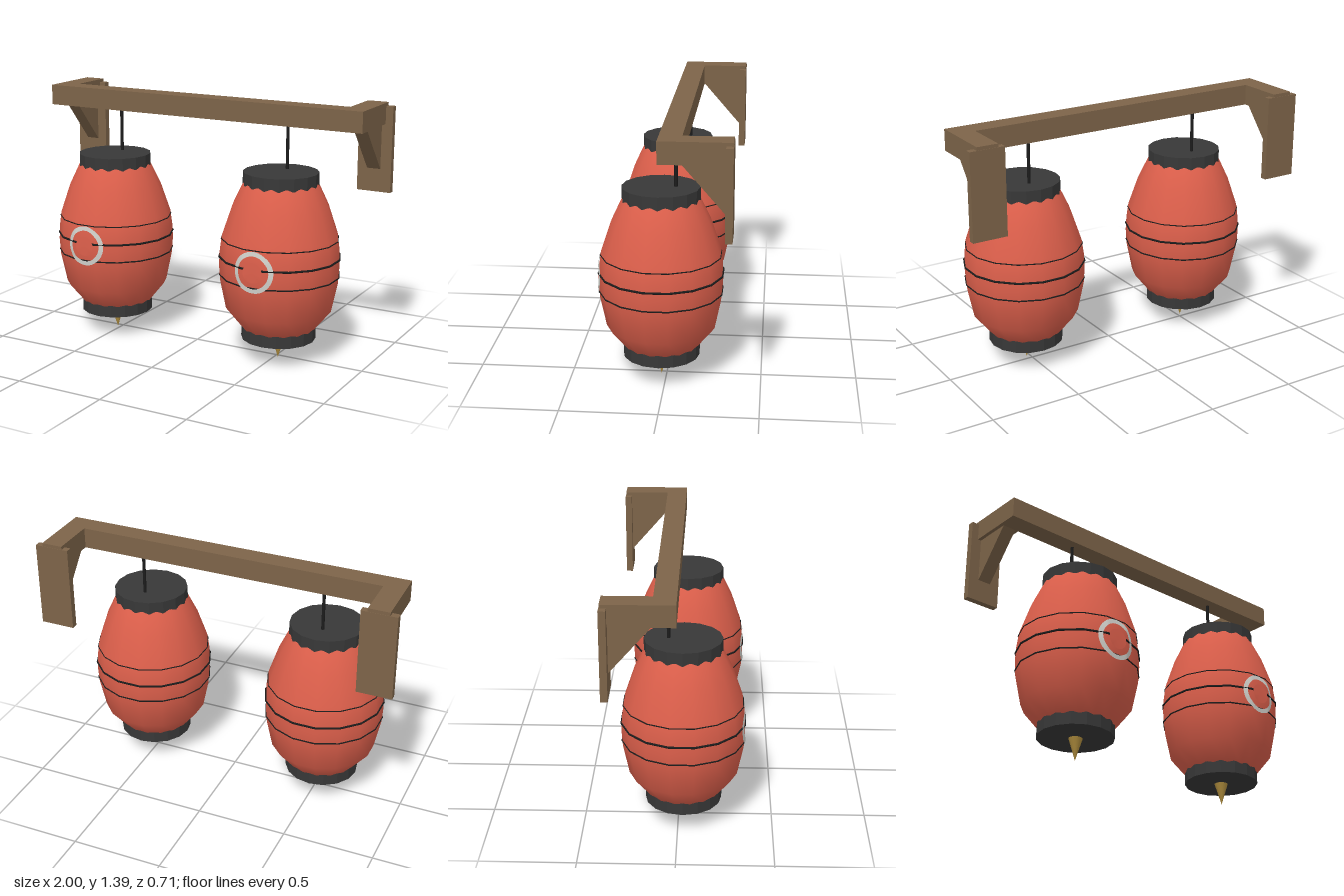
import * as THREE from 'three';

const mat = (name, color, side = THREE.FrontSide) => {
  const m = new THREE.MeshStandardMaterial({ color, side });
  m.name = name;
  return m;
};

const SIDES = 16;
const TURN = Math.PI / SIDES; // a flat facet faces the front
// lantern body profile: radius, height
const PROFILE = [[0.16, 0.14], [0.198, 0.18], [0.287, 0.29], [0.32, 0.45], [0.326, 0.54],
  [0.322, 0.62], [0.311, 0.7], [0.257, 0.86], [0.2, 0.98], [0.16, 1.02]];

function radiusAt(y) {
  const i = Math.max(1, PROFILE.findIndex(p => p[1] >= y));
  const [r0, y0] = PROFILE[i - 1], [r1, y1] = PROFILE[i];
  return r0 + (r1 - r0) * (y - y0) / (y1 - y0);
}

// depth of the faceted body's front at (x, y)
function frontAt(x, y) {
  const R = radiusAt(y), half = R * Math.sin(TURN);
  return R * Math.cos(TURN) - Math.max(0, Math.abs(x) - half) * Math.tan(2 * TURN);
}

// lays a flat geometry on the front of the body
function wrap(geo, cy, lift) {
  const p = geo.attributes.position;
  for (let i = 0; i < p.count; i++) {
    const x = p.getX(i), y = p.getY(i) + cy;
    p.setXYZ(i, x, y, frontAt(x, y) + lift);
  }
  geo.computeVertexNormals();
  return geo;
}

export function createModel() {
  const wood = mat('wood', 0x7d6449);
  const red = mat('red paper', 0xdc5f4b);
  const dark = mat('dark trim', 0x383838);
  const black = mat('black cord', 0x1c1c1c);
  const gold = mat('gold', 0xb3903f);
  const white = mat('pale emblem', 0xd2d2cc, THREE.DoubleSide);
  const flatDark = dark;
  flatDark.flatShading = true;

  const model = new THREE.Group();
  const add = (parent, name, geo, material, x = 0, y = 0, z = 0) => {
    const m = new THREE.Mesh(geo, material);
    m.name = name;
    m.position.set(x, y, z);
    parent.add(m);
    return m;
  };
  const box = (parent, name, x0, x1, y0, y1, z0, z1) => add(parent, name,
    new THREE.BoxGeometry(x1 - x0, y1 - y0, z1 - z0), wood,
    (x0 + x1) / 2, (y0 + y1) / 2, (z0 + z1) / 2);

  // wooden frame
  box(model, 'crossBeam', -0.96, 0.96, 1.275, 1.388, -0.107, 0.006);
  for (const s of [-1, 1]) {
    const side = s < 0 ? 'right' : 'left';
    const bracket = new THREE.Group();
    bracket.name = side + 'Bracket';
    model.add(bracket);
    const span = (a, b) => (s > 0 ? [a, b] : [-b, -a]);
    box(bracket, 'arm', ...span(0.845, 0.96), 1.275, 1.388, -0.354, -0.107);
    box(bracket, 'wallPlate', ...span(0.81, 1.0), 0.905, 1.37, -0.356, -0.32);

    // triangular brace, drawn in (-z, y) and turned sideways
    const tri = new THREE.Shape([[0.107, 1.275], [0.32, 1.03], [0.32, 1.275]]
      .map(p => new THREE.Vector2(...p)));
    const brace = new THREE.ExtrudeGeometry(tri, { depth: 0.075, bevelEnabled: false });
    brace.translate(0, 0, -0.0375).rotateY(Math.PI / 2);
    add(bracket, 'brace', brace, wood, s * 0.9025, 0, 0);

    // hanging lantern
    const lantern = new THREE.Group();
    lantern.name = side + 'Lantern';
    lantern.position.set(s * 0.52, 0, 0.027);
    model.add(lantern);

    const pts = PROFILE.map(p => new THREE.Vector2(...p));
    add(lantern, 'body', new THREE.LatheGeometry(pts, SIDES, TURN), red);
    add(lantern, 'topCap', new THREE.CylinderGeometry(0.202, 0.202, 0.07, SIDES), flatDark, 0, 1.004, 0);
    add(lantern, 'bottomCap', new THREE.CylinderGeometry(0.202, 0.202, 0.068, SIDES), flatDark, 0, 0.154, 0);
    add(lantern, 'finial', new THREE.ConeGeometry(0.037, 0.12, 12).rotateX(Math.PI), gold, 0, 0.06, 0);
    add(lantern, 'cord', new THREE.CylinderGeometry(0.009, 0.009, 0.25, 8), black, 0, 1.155, -0.076);

    // thin hoops around the body
    for (const [y, t] of [[0.48, 0.004], [0.58, 0.006], [0.68, 0.003]]) {
      const hoop = new THREE.TorusGeometry(radiusAt(y) + 0.001, t, 6, SIDES);
      hoop.rotateZ(TURN).rotateX(Math.PI / 2);
      add(lantern, 'hoop', hoop, black, 0, y, 0);
    }

    // round emblem on the front
    add(lantern, 'emblemRing', wrap(new THREE.RingGeometry(0.087, 0.111, 40, 2), 0.565, 0.006), white);
    add(lantern, 'emblemCentre', wrap(new THREE.CircleGeometry(0.055, 24), 0.565, 0.009), red);
  }
  return model;
}
